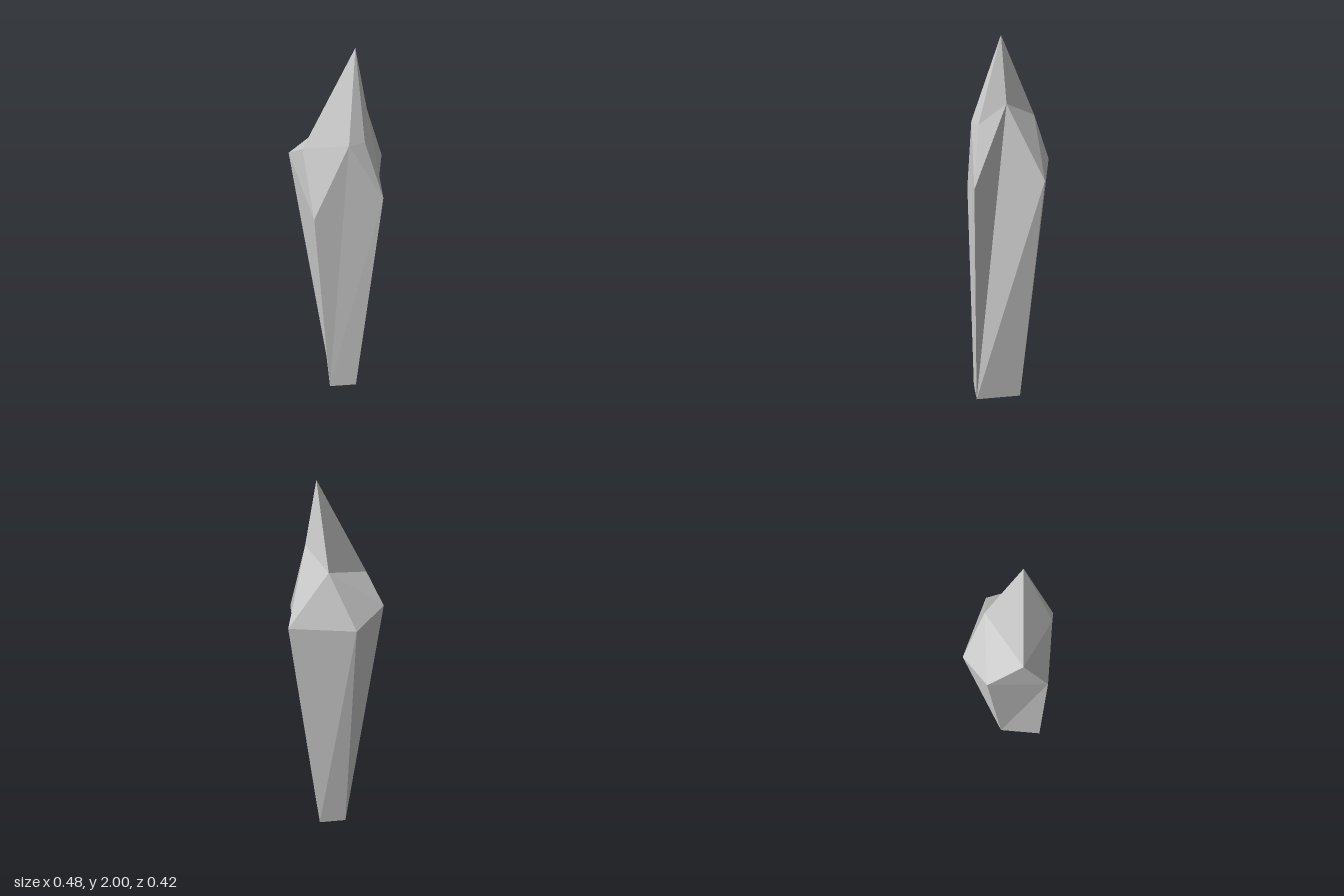
import * as THREE from 'three';

// Corners of the faceted crystal
const P = {
  // square foot
  a0: [-0.065, 0, 0.205], b0: [0.085, 0, 0.205], c0: [0.085, 0, -0.04], d0: [-0.065, 0, -0.04],
  // widest ring
  a: [-0.136, 1.18, 0.211], b: [0.202, 1.285, 0.208], c: [0.239, 1.325, -0.132],
  d: [-0.086, 1.33, -0.213], e: [-0.241, 1.395, -0.078],
  // shoulder ring
  f: [0.037, 1.6, -0.112], g: [0.133, 1.685, 0.04], h: [0.11, 1.58, 0.174],
  i: [0.033, 1.58, 0.2], j: [-0.178, 1.51, 0.086],
  // tip
  t: [0.073, 2, 0.057],
};

// Builds a flat-shaded mesh from convex facets, each listed counter-clockwise
function facets(name, list, material) {
  const pos = [];
  for (const facet of list) {
    const k = facet.split(' ');
    for (let n = 1; n < k.length - 1; n++) pos.push(...P[k[0]], ...P[k[n]], ...P[k[n + 1]]);
  }
  const geometry = new THREE.BufferGeometry();
  geometry.setAttribute('position', new THREE.Float32BufferAttribute(pos, 3));
  geometry.computeVertexNormals();
  const mesh = new THREE.Mesh(geometry, material);
  mesh.name = name;
  return mesh;
}

export function createModel() {
  const group = new THREE.Group();
  group.name = 'crystalShard';
  const stone = new THREE.MeshStandardMaterial({ color: 0xcccccc, flatShading: true });

  // Tapering shaft, with the foot closed below
  group.add(facets('shaft', [
    'a0 d0 c0 b0',
    'a0 b0 b', 'a0 b i', 'a0 i a',
    'b b0 g', 'b0 c g', 'b0 c0 c',
    'c0 d0 d c', 'd0 e d', 'd0 a0 a e',
  ], stone));

  // Sloping shoulder facets and the pointed tip
  group.add(facets('point', [
    'i b h', 'h b g', 'g c f', 'c d f', 'd e f', 'e j f', 'e a j',
    'i h t', 'h g t', 'g f t', 'f j t', 'j a i t',
  ], stone));

  return group;
}
